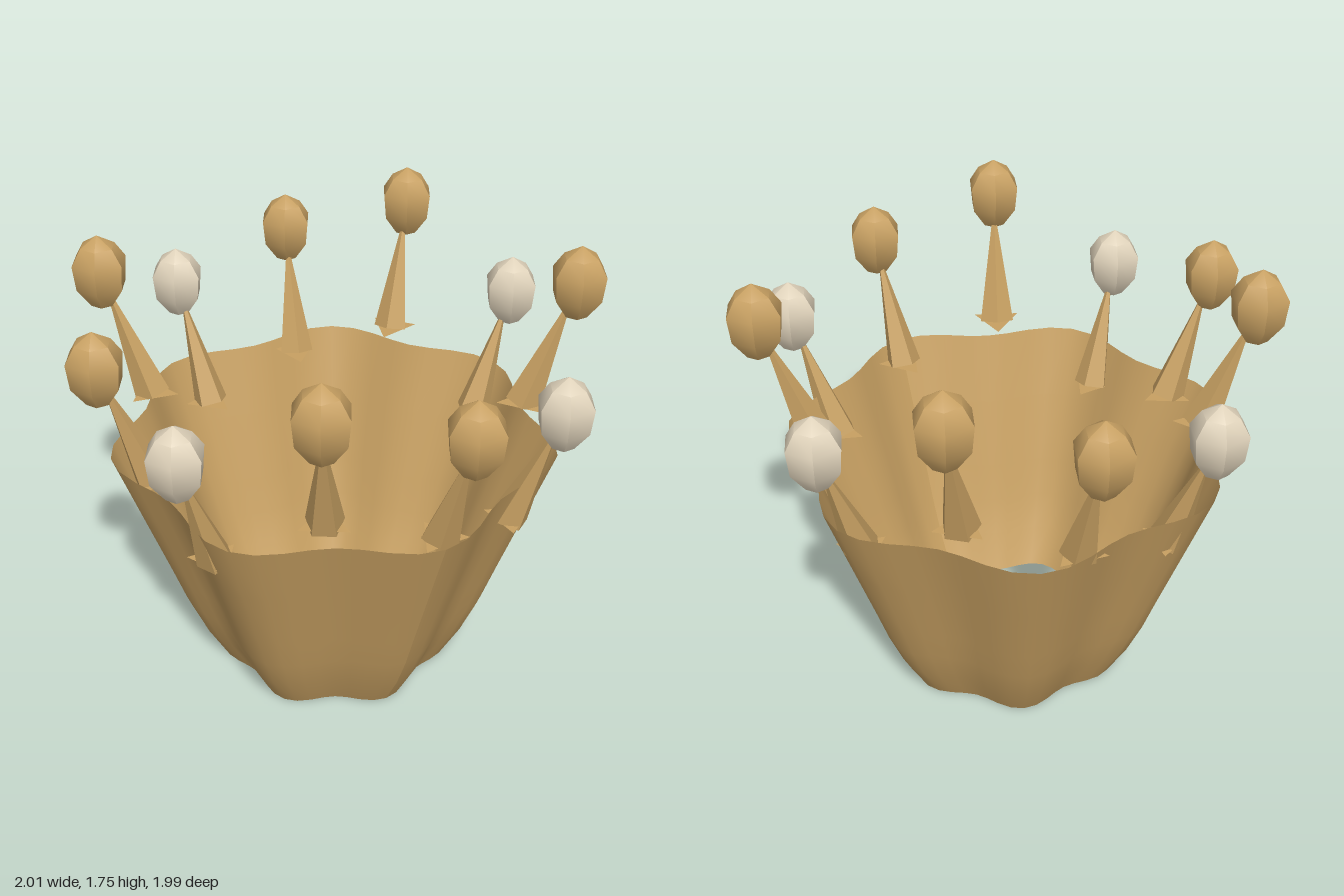
import * as THREE from 'three';
import { toCreasedNormals } from 'three/addons/utils/BufferGeometryUtils.js';

const CENTRE_Z = -0.02;

// Open, seven-lobed wall: loops of points stacked from the bottom rim to the top rim
function wallGeometry() {
  const profile = [[0, 0], [0.15, 0.21], [0.3, 0.37], [0.45, 0.5], [0.73, 0.75], [1.01, 1]]; // height, flare
  const segments = 56;
  const positions = [], index = [];
  profile.forEach(([y, t], row) => {
    for (let i = 0; i <= segments; i++) {
      const a = (i % segments) / segments * Math.PI * 2;
      const wave = Math.cos(7 * a);
      const bottom = 0.442 + 0.03 * wave, top = 0.815 + 0.05 * wave;
      const r = bottom + (top - bottom) * t;
      positions.push(Math.sin(a) * r, y, Math.cos(a) * r + CENTRE_Z);
      if (row > 0 && i < segments) {
        const p = (row - 1) * (segments + 1) + i, q = p + segments + 1;
        index.push(p, p + 1, q, p + 1, q + 1, q);
      }
    }
  });
  const g = new THREE.BufferGeometry();
  g.setAttribute('position', new THREE.Float32BufferAttribute(positions, 3));
  g.setIndex(index);
  g.computeVertexNormals();
  return g;
}

// Low-poly bead, pointed at the top and narrower underneath
function beadGeometry() {
  const profile = [[0, -0.145], [0.045, -0.13], [0.098, -0.055], [0.108, 0.045], [0.068, 0.108], [0, 0.15]];
  const g = new THREE.LatheGeometry(profile.map(([r, y]) => new THREE.Vector2(r, y)), 6, Math.PI / 2 + 0.05);
  return toCreasedNormals(g, 0.6);
}

export function createModel() {
  const gold = new THREE.MeshStandardMaterial({ color: 0xc7a062, side: THREE.DoubleSide });
  gold.name = 'gold';
  const pearl = new THREE.MeshStandardMaterial({ color: 0xdfd2ba, side: THREE.DoubleSide });
  pearl.name = 'pearl';

  const model = new THREE.Group();
  model.name = 'crown';
  const add = (parent, name, geometry, material) => {
    const mesh = new THREE.Mesh(geometry, material);
    mesh.name = name;
    parent.add(mesh);
    return mesh;
  };

  add(model, 'wall', wallGeometry(), gold);

  // Bead centres: x, y, z; the lowest beads are pearl
  const LOW = 1.34, MID = 1.47, HIGH = 1.6;
  const beads = [
    [0.06, MID, 0.9], [0.54, LOW, 0.72], [0.85, HIGH, 0.31], [0.89, LOW, -0.19],
    [0.65, HIGH, -0.65], [0.21, MID, -0.9], [-0.3, LOW, -0.87], [-0.71, HIGH, -0.57],
    [-0.9, MID, -0.09], [-0.8, LOW, 0.41], [-0.44, HIGH, 0.78],
  ];
  const bead = beadGeometry();
  const length = 0.45;
  const spike = toCreasedNormals(
    new THREE.CylinderGeometry(0.005, 0.072, length, 5).translate(0, length / 2, 0), 0.6);
  const foot = new THREE.CircleGeometry(0.105, 3).rotateZ(-Math.PI / 2).rotateX(Math.PI / 2)
    .rotateY(0); // one corner points inward
  const up = new THREE.Vector3(0, 1, 0);

  for (const [x, y, z] of beads) {
    const centre = new THREE.Vector3(x, y, z);
    const base = new THREE.Vector3(x * 0.81, y - 0.5, (z - CENTRE_Z) * 0.81 + CENTRE_Z);
    const heading = Math.atan2(x, z - CENTRE_Z);

    const prong = new THREE.Group();
    prong.name = 'prong';
    model.add(prong);

    // Leaning spike, flat triangular foot and bead on top
    const lean = add(prong, 'spike', spike, gold);
    lean.position.copy(base);
    lean.quaternion.setFromUnitVectors(up, centre.clone().sub(base).normalize());
    lean.quaternion.multiply(new THREE.Quaternion().setFromAxisAngle(up, heading + Math.PI));

    const plate = add(prong, 'foot', foot, gold);
    plate.position.copy(base);
    plate.rotation.y = heading;

    add(prong, 'bead', bead, y === LOW ? pearl : gold).position.copy(centre);
  }
  return model;
}
